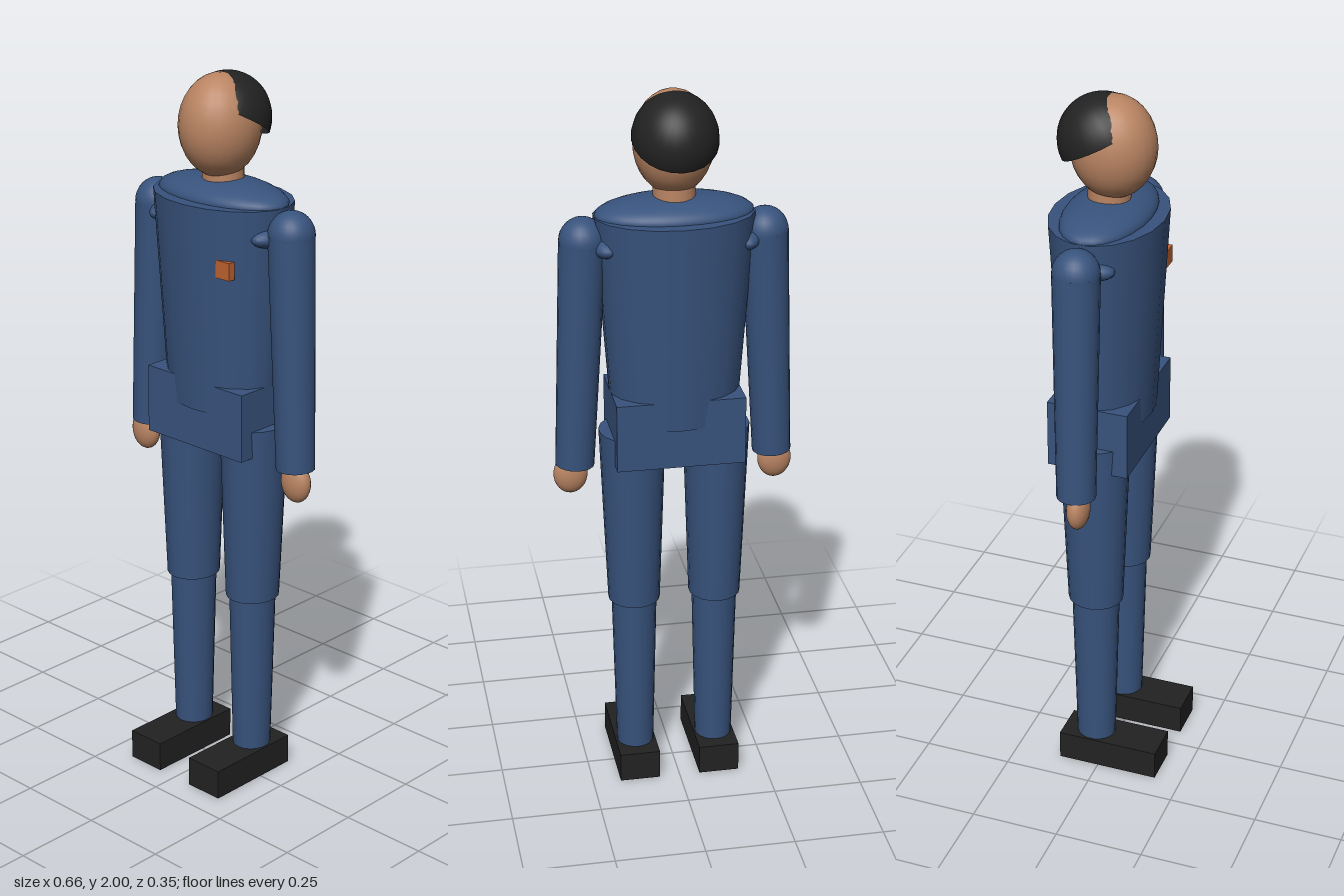
import * as THREE from 'three';

const mat = (name, color) => {
  const m = new THREE.MeshStandardMaterial({ color });
  m.name = name;
  return m;
};

export function createModel() {
  const cloth = mat('blue cloth', 0x38537d);
  const skin = mat('skin', 0xb98462);
  const black = mat('black', 0x222222);
  black.side = THREE.DoubleSide;
  const orange = mat('orange badge', 0xc0622f);

  const root = new THREE.Group();
  root.name = 'figure';
  const Z = -0.024; // depth of the body axis

  function add(parent, name, geometry, material, x, y, z) {
    const mesh = new THREE.Mesh(geometry, material);
    mesh.name = name;
    mesh.position.set(x, y, z);
    parent.add(mesh);
    return mesh;
  }
  const ball = (rx, ry, rz, ...arc) => new THREE.SphereGeometry(1, 24, 16, ...arc).scale(rx, ry, rz);

  // Tapered round limb between two points
  function limb(parent, name, from, to, rTop, rBottom, depthScale = 1) {
    const a = new THREE.Vector3(...from), b = new THREE.Vector3(...to);
    const dir = a.clone().sub(b);
    const geo = new THREE.CylinderGeometry(rTop, rBottom, dir.length(), 18).scale(1, 1, depthScale);
    const mid = a.clone().add(b).multiplyScalar(0.5);
    const mesh = add(parent, name, geo, cloth, mid.x, mid.y, mid.z);
    mesh.quaternion.setFromUnitVectors(new THREE.Vector3(0, 1, 0), dir.normalize());
    return mesh;
  }

  // Head, with a hair cap tilted backwards
  add(root, 'head', ball(0.107, 0.138, 0.115), skin, 0, 1.862, -0.012);
  const hair = add(root, 'hair', ball(0.114, 0.123, 0.123, 0, Math.PI * 2, 0, Math.PI / 2), black, 0, 1.877, -0.038);
  hair.rotation.x = -0.5;
  add(root, 'neck', new THREE.CylinderGeometry(0.055, 0.058, 0.1, 18), skin, 0, 1.72, Z);

  // Trunk
  add(root, 'shoulderDome', ball(0.212, 0.05, 0.115, 0, Math.PI * 2, 0, Math.PI / 2), cloth, 0, 1.675, Z);
  add(root, 'torso', new THREE.CylinderGeometry(1, 0.8, 0.575, 18).scale(0.215, 1, 0.152), cloth, 0, 1.3875, Z);
  add(root, 'pelvis', new THREE.BoxGeometry(0.35, 0.19, 0.226), cloth, 0, 1.085, Z);
  add(root, 'chestBadge', new THREE.BoxGeometry(0.048, 0.048, 0.02), orange, 0.117, 1.515, 0.092);

  for (const s of [1, -1]) {
    const side = s > 0 ? 'left' : 'right';

    const arm = new THREE.Group();
    arm.name = side + 'Arm';
    root.add(arm);
    add(arm, 'shoulder', ball(0.063, 0.065, 0.063), cloth, s * 0.243, 1.61, Z);
    add(arm, 'armpitFold', ball(0.04, 0.03, 0.083), cloth, s * 0.186, 1.598, Z);
    limb(arm, 'sleeve', [s * 0.243, 1.61, Z], [s * 0.273, 0.97, -0.018], 0.063, 0.053);
    add(arm, 'hand', ball(0.047, 0.057, 0.03), skin, s * 0.284, 0.937, -0.008);

    const leg = new THREE.Group();
    leg.name = side + 'Leg';
    root.add(leg);
    limb(leg, 'thigh', [s * 0.116, 1.065, Z], [s * 0.114, 0.55, Z], 0.091, 0.072, 1.07);
    limb(leg, 'shin', [s * 0.114, 0.6, Z], [s * 0.114, 0.08, Z], 0.064, 0.052, 1.06);
    add(leg, 'shoe', new THREE.BoxGeometry(0.114, 0.085, 0.291), black, s * 0.1145, 0.0425, 0.029);
  }
  return root;
}
